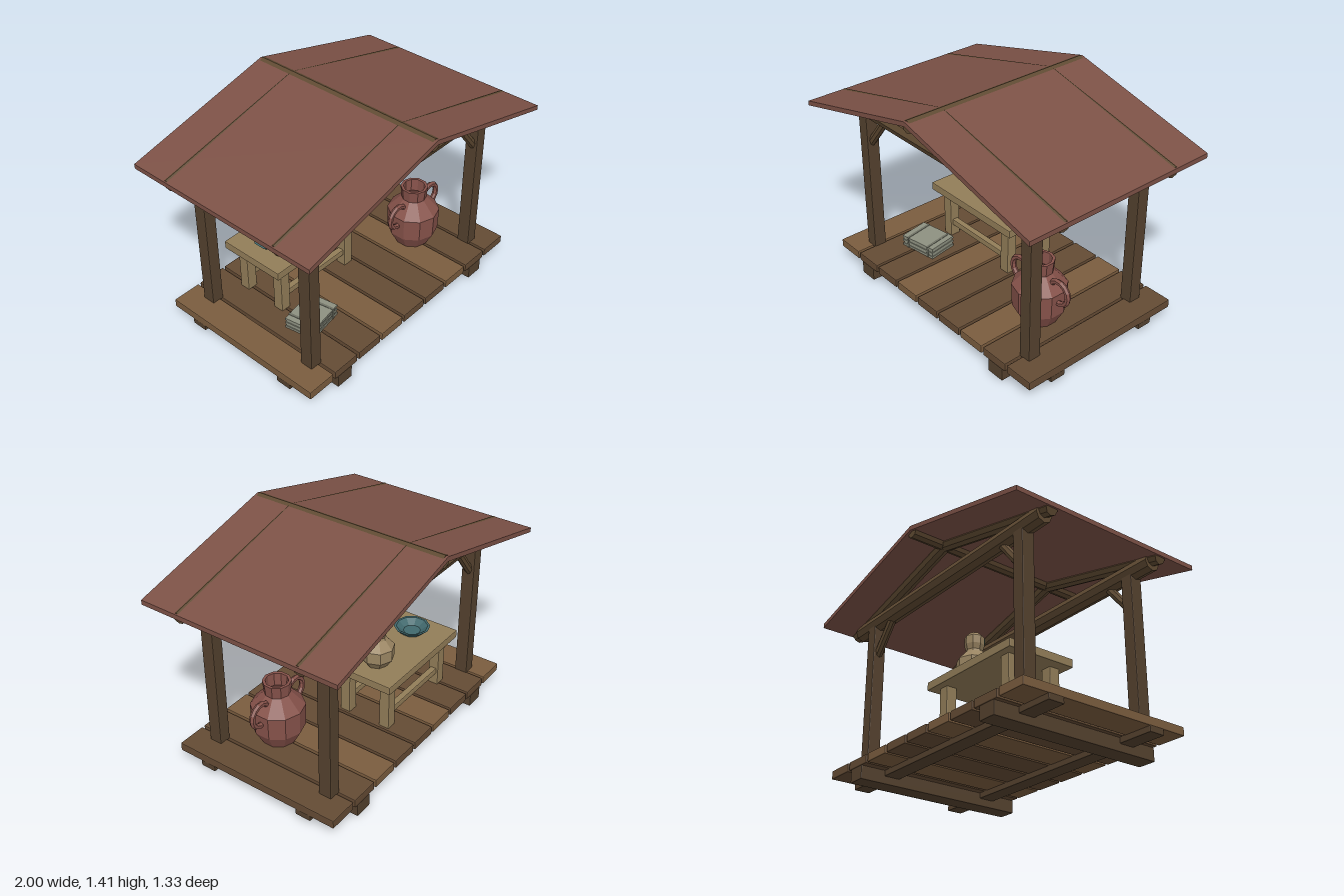
import * as THREE from 'three';
import { RoundedBoxGeometry } from 'three/addons/geometries/RoundedBoxGeometry.js';

const paint = (color, side = THREE.FrontSide) =>
  new THREE.MeshStandardMaterial({ color, side, flatShading: true });

const MAT = {
  darkWood: paint(0x54412e),
  plankA: paint(0x7a5c3e),
  plankB: paint(0x644b34),
  log: paint(0x5f4a32),
  tableWood: paint(0x927d58),
  roof: paint(0x7c5146),
  redClay: paint(0x86524a, THREE.DoubleSide),
  paleClay: paint(0x9a8562, THREE.DoubleSide),
  teal: paint(0x41696d, THREE.DoubleSide),
  gem: paint(0x3d8a80),
  paper: paint(0x8d9080),
  strap: paint(0x6f7265),
};

function add(parent, name, geometry, material, x = 0, y = 0, z = 0) {
  const mesh = new THREE.Mesh(geometry, material);
  mesh.name = name;
  mesh.position.set(x, y, z);
  parent.add(mesh);
  return mesh;
}

// Box with slightly worn edges
function beam(parent, name, mat, w, h, d, x, y, z) {
  return add(parent, name, new RoundedBoxGeometry(w, h, d, 1, 0.006), mat, x, y, z);
}

// Eight-sided pole between two points
function pole(parent, name, mat, from, to, r) {
  const a = new THREE.Vector3(...from), b = new THREE.Vector3(...to);
  const dir = b.clone().sub(a);
  const mesh = add(parent, name, new THREE.CylinderGeometry(r, r, dir.length(), 8), mat);
  mesh.position.copy(a).lerp(b, 0.5);
  mesh.quaternion.setFromUnitVectors(new THREE.Vector3(0, 1, 0), dir.normalize());
  return mesh;
}

// Turned vessel from [radius, height] pairs
function vessel(parent, name, mat, points, sides, x, y, z) {
  const profile = points.map(([r, h]) => new THREE.Vector2(r, h));
  return add(parent, name, new THREE.LatheGeometry(profile, sides), mat, x, y, z);
}

function group(parent, name) {
  const g = new THREE.Group();
  g.name = name;
  parent.add(g);
  return g;
}

function buildPlatform(parent) {
  const g = group(parent, 'platform');
  for (let i = 0; i < 9; i++) {
    beam(g, 'floorPlank', i % 3 ? MAT.plankB : MAT.plankA, 0.19, 0.055, 1.14, -0.825 + i * 0.20625, 0.1125, 0);
  }
  for (const s of [-1, 1]) {
    beam(g, 'skid', MAT.darkWood, 0.12, 0.086, 1.14, s * 0.63, 0.043, 0);
    beam(g, 'crossBeam', MAT.darkWood, 1.84, 0.042, 0.105, 0, 0.07, s * 0.355);
  }
}

function buildFrame(parent) {
  const g = group(parent, 'frame');
  for (const z of [-0.41, 0.41]) {
    pole(g, 'tieBeam', MAT.log, [-0.92, 1.123, z], [0.92, 1.123, z], 0.055);
    for (const s of [-1, 1]) {
      beam(g, 'post', MAT.darkWood, 0.08, 0.97, 0.085, s * 0.745, 0.615, z);
      pole(g, 'brace', MAT.log, [s * 0.73, 0.89, z], [s * 0.56, 1.1, z], 0.027);
      pole(g, 'rafter', MAT.log, [s * 0.983, 1.123, z], [0, 1.368, z], 0.04);
    }
  }
  pole(g, 'ridgePole', MAT.log, [0, 1.372, -0.65], [0, 1.372, 0.65], 0.04);
}

function buildRoof(parent) {
  // Thin chevron section swept along z
  const section = new THREE.Shape([
    [-1, 1.125], [0, 1.378], [1, 1.125], [1, 1.155], [0, 1.408], [-1, 1.155],
  ].map(([x, y]) => new THREE.Vector2(x, y)));
  const geo = new THREE.ExtrudeGeometry(section, { depth: 1.33, bevelEnabled: false });
  add(parent, 'roof', geo, MAT.roof, 0, 0, -0.665);
}

function buildTable(parent) {
  const g = group(parent, 'table');
  const cx = -0.2375, cz = -0.185;
  beam(g, 'tableTop', MAT.tableWood, 0.765, 0.053, 0.45, cx, 0.48, cz);
  for (const sz of [-1, 1]) {
    const z = cz + sz * 0.145;
    for (const sx of [-1, 1]) {
      beam(g, 'tableLeg', MAT.tableWood, 0.07, 0.33, 0.07, cx + sx * 0.2825, 0.3, z);
    }
    beam(g, 'stretcher', MAT.tableWood, 0.54, 0.042, 0.042, cx, 0.238, z);
  }
}

function buildPottery(parent) {
  // Large two-handled jar
  const jar = group(parent, 'largeJar');
  jar.position.set(0.52, 0.14, 0.133);
  vessel(jar, 'jarBody', MAT.redClay, [
    [0, 0], [0.11, 0], [0.162, 0.095], [0.167, 0.245], [0.08, 0.338],
    [0.088, 0.417], [0.07, 0.417], [0.065, 0.335], [0.13, 0.24], [0, 0.05],
  ], 10, 0, 0, 0);
  for (const s of [-1, 1]) {
    add(jar, 'jarHandle', new THREE.TorusGeometry(0.073, 0.018, 6, 14), MAT.redClay, s * 0.16, 0.26, 0);
  }

  // Small bottle with a bulbous neck
  const bottle = group(parent, 'bottle');
  bottle.position.set(-0.028, 0.505, -0.2);
  vessel(bottle, 'bottleBody', MAT.paleClay, [
    [0, 0], [0.066, 0], [0.107, 0.055], [0.107, 0.13], [0.056, 0.185],
    [0.05, 0.2], [0.061, 0.235], [0.061, 0.285], [0.035, 0.31], [0, 0.31],
  ], 8, 0, 0, 0);
  beam(bottle, 'bottleInlay', MAT.gem, 0.055, 0.036, 0.014, 0, 0.27, 0.055);

  // Shallow open bowl
  vessel(parent, 'bowl', MAT.teal, [
    [0, 0], [0.068, 0], [0.115, 0.044], [0.1, 0.044], [0.055, 0.012], [0, 0.012],
  ], 10, -0.44, 0.505, -0.185);
}

function buildBundle(parent) {
  // Strapped stack of sheets on the floor
  const g = group(parent, 'sheetBundle');
  g.position.set(-0.495, 0.14, 0.18);
  g.rotation.y = 0.17;
  for (let i = 0; i < 5; i++) {
    const inset = i % 2 ? 0.01 : 0;
    add(g, 'sheet', new THREE.BoxGeometry(0.26 - inset, 0.0145, 0.2 - inset), MAT.paper, 0, 0.0075 + i * 0.0145, 0);
  }
  for (const s of [-1, 1]) {
    add(g, 'strap', new THREE.BoxGeometry(0.016, 0.075, 0.206), MAT.strap, s * 0.085, 0.0375, 0);
  }
}

export function createModel() {
  const model = new THREE.Group();
  model.name = 'marketStall';
  buildPlatform(model);
  buildFrame(model);
  buildRoof(model);
  buildTable(model);
  buildPottery(model);
  buildBundle(model);
  return model;
}
